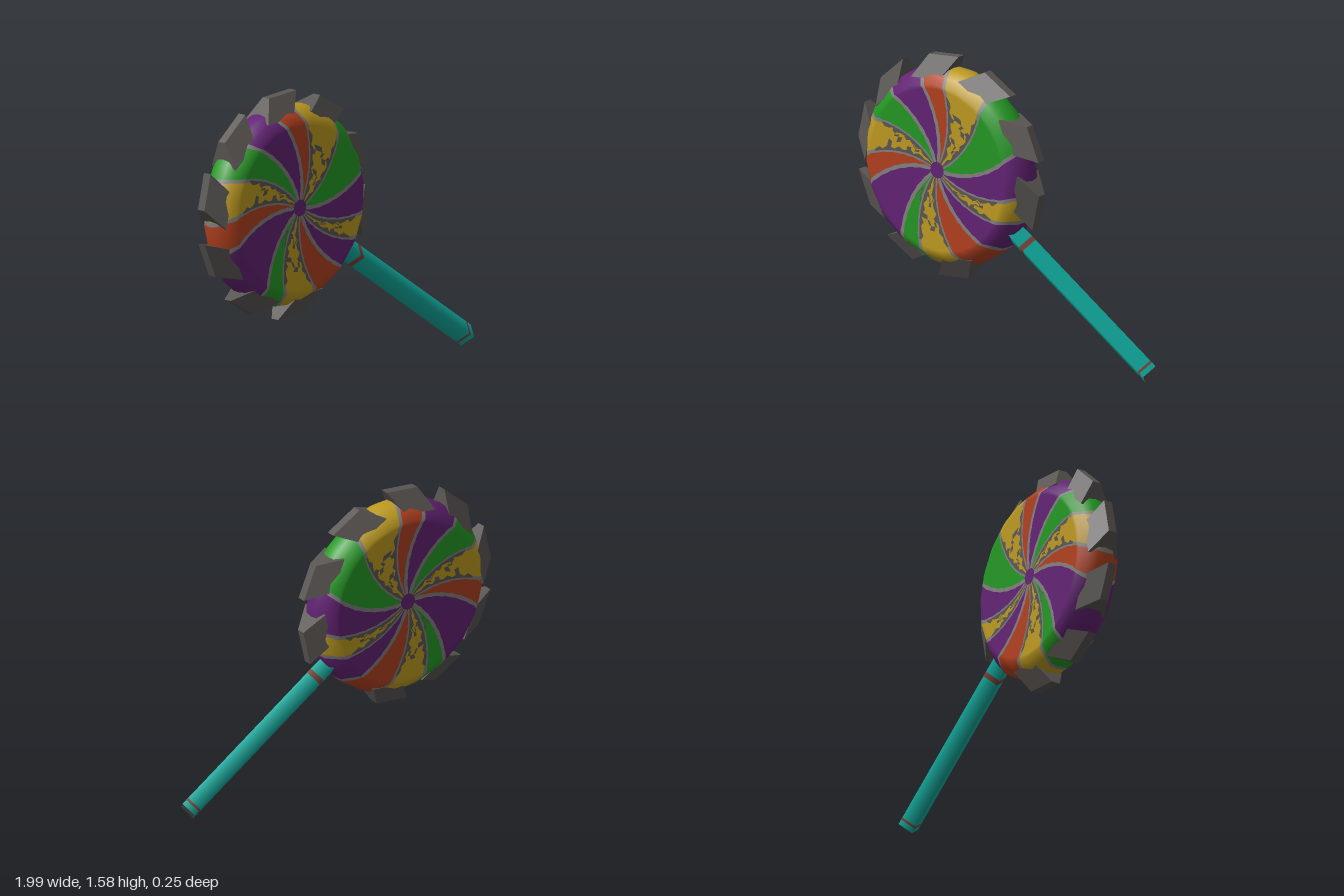
import * as THREE from 'three';

const mat = (name, color) => {
  const m = new THREE.MeshStandardMaterial({ color });
  m.name = name;
  return m;
};
const rad = THREE.MathUtils.degToRad;
const CX = -0.385, CY = 0.972;

export function createModel() {
  const M = {
    R: mat('candyRed', 0xb2401f), Y: mat('candyYellow', 0xbd9a20),
    G: mat('candyGreen', 0x239823), P: mat('candyPurple', 0x632274),
    light: mat('lightGrey', 0x828080), dark: mat('darkGrey', 0x5a5653),
    teal: mat('handleTeal', 0x10a89c), brown: mat('bandBrown', 0x7c4238),
  };
  const keys = ['R', 'Y', 'G', 'P', 'light', 'dark'];
  const model = new THREE.Group();
  const head = new THREE.Group();
  head.name = 'candyHead';
  head.position.set(CX, CY, 0);
  model.add(head);

  // Swirled disc: clockwise sectors, given by their edges at the rim
  const edges = [107, 89, 57, 20, -7, -24, -46, -72, -99, -116, -158, -177, -202, -226, -253];
  const fills = 'RYGPYPRYGPRYGP';
  // Half profile: radius, half thickness, radial share of the normal
  const profile = [];
  for (let r = 0.045; r < 0.45; r += 0.025) profile.push([r, 0.125, 0]);
  profile.push([0.47, 0.125, 0.35], [0.51, 0.085, 0.71], [0.545, 0.045, 0.93], [0.55, 0, 1]);

  const buckets = Object.fromEntries(keys.map(k => [k, { pos: [], nor: [] }]));
  const point = ([r, z, n], deg, side) => {
    const a = rad(deg);
    // twenty-sided outline, only near the rim
    let rr = r;
    if (r > 0.46) {
      const local = ((deg - 95) % 18 + 18) % 18 - 9;
      rr *= Math.cos(rad(9)) / Math.cos(rad(local));
    }
    return {
      p: [rr * Math.cos(a), rr * Math.sin(a), z * side],
      n: [n * Math.cos(a), n * Math.sin(a), side * Math.sqrt(1 - n * n)],
    };
  };
  const face = (key, pts, side) => {
    const order = side > 0 ? [...pts].reverse() : pts;
    for (let i = 1; i < order.length - 1; i++) {
      for (const v of [order[0], order[i], order[i + 1]]) {
        buckets[key].pos.push(...v.p);
        buckets[key].nor.push(...v.n);
      }
    }
  };

  const COLS = 8;
  // Column angles of one sector at one radius: seam, fill columns, seam
  const columns = (s, ring) => {
    const r = profile[ring][0];
    const twist = -30 * (1 - r / 0.55);
    const a0 = edges[s] + twist, a1 = edges[s + 1] + twist;
    const rough = fills[s] === 'Y' && r < 0.4 ? 0.01 : 0.002;
    const seam = k => Math.min(
      THREE.MathUtils.radToDeg((0.009 + rough * (1 + Math.sin(ring * 2.3 + s * 1.7 + k))) / r),
      (a0 - a1) * 0.4);
    const b0 = a0 - seam(0), b1 = a1 + seam(2);
    const out = [a0];
    for (let c = 0; c <= COLS; c++) out.push(b0 + (b1 - b0) * c / COLS);
    out.push(a1);
    return out;
  };
  const colourAt = (s, ring, c) => {
    const fill = fills[s], r = profile[ring][0];
    if (c === 0 || c === COLS + 1) {
      return fill === 'Y' && r < 0.42 ? 'dark' : 'light';
    }
    // uneven dark cracks across the yellow swirls
    const crack = Math.round(ring + 1.2 * Math.sin(c * 0.9 + s * 2)) % 5 === 0;
    if (crack && r > 0.08 && r < 0.34 && fill === 'Y') return 'dark';
    if (crack && r > 0.12 && r < 0.25 && fill === 'G' && s === 8) return 'dark';
    return fill;
  };

  for (const side of [1, -1]) {
    for (let s = 0; s < fills.length; s++) {
      for (let j = 0; j < profile.length - 1; j++) {
        const inner = columns(s, j), outer = columns(s, j + 1);
        for (let c = 0; c < inner.length - 1; c++) {
          face(colourAt(s, j, c), [
            point(profile[j], inner[c], side), point(profile[j + 1], outer[c], side),
            point(profile[j + 1], outer[c + 1], side), point(profile[j], inner[c + 1], side),
          ], side);
        }
      }
    }
    // central eye of the swirl
    const eye = [];
    for (let i = 0; i < 28; i++) eye.push(point(profile[0], -i * 360 / 28, side));
    face('P', eye, side);
  }
  for (const k of keys) {
    const g = new THREE.BufferGeometry();
    g.setAttribute('position', new THREE.Float32BufferAttribute(buckets[k].pos, 3));
    g.setAttribute('normal', new THREE.Float32BufferAttribute(buckets[k].nor, 3));
    const mesh = new THREE.Mesh(g, M[k]);
    mesh.name = 'swirl ' + M[k].name;
    head.add(mesh);
  }

  // Saw teeth: a box skewed clockwise and tapered to a narrow outer edge
  let tooth = new THREE.BoxGeometry(1, 1, 1);
  const tp = tooth.attributes.position;
  for (let i = 0; i < tp.count; i++) {
    const outer = tp.getY(i) > 0, front = tp.getX(i) > 0;
    const u = outer ? (front ? 0.12 : -0.08) : (front ? 0.03 : -0.16);
    tp.setXYZ(i, u, outer ? 0.608 : 0.49, Math.sign(tp.getZ(i)) * (outer ? 0.025 : 0.092));
  }
  tooth = tooth.toNonIndexed();
  tooth.computeVertexNormals();
  for (let k = 0; k < 10; k++) {
    if (k === 4) continue; // gap where the handle joins
    const mesh = new THREE.Mesh(tooth, M.dark);
    mesh.name = 'sawTooth';
    mesh.rotation.z = rad(95 - 36 * k - 90);
    head.add(mesh);
  }

  // Four-sided handle running out along the local y axis
  const handle = new THREE.Group();
  handle.name = 'handle';
  handle.position.set(CX, CY, 0);
  handle.rotation.z = Math.atan2(-0.8265, -0.563);
  const rod = (name, from, to, radius, material, open) => {
    const g = new THREE.CylinderGeometry(radius, radius, to - from, 4, 1, open);
    const mesh = new THREE.Mesh(g, material);
    mesh.name = name;
    mesh.position.y = (from + to) / 2;
    handle.add(mesh);
  };
  rod('handleRod', 0.42, 1.627, 0.0625, [M.teal, M.dark, M.dark], false);
  rod('upperBand', 0.615, 0.645, 0.0635, M.brown, true);
  rod('lowerBand', 1.583, 1.597, 0.0635, M.brown, true);
  model.add(handle);

  return model;
}
